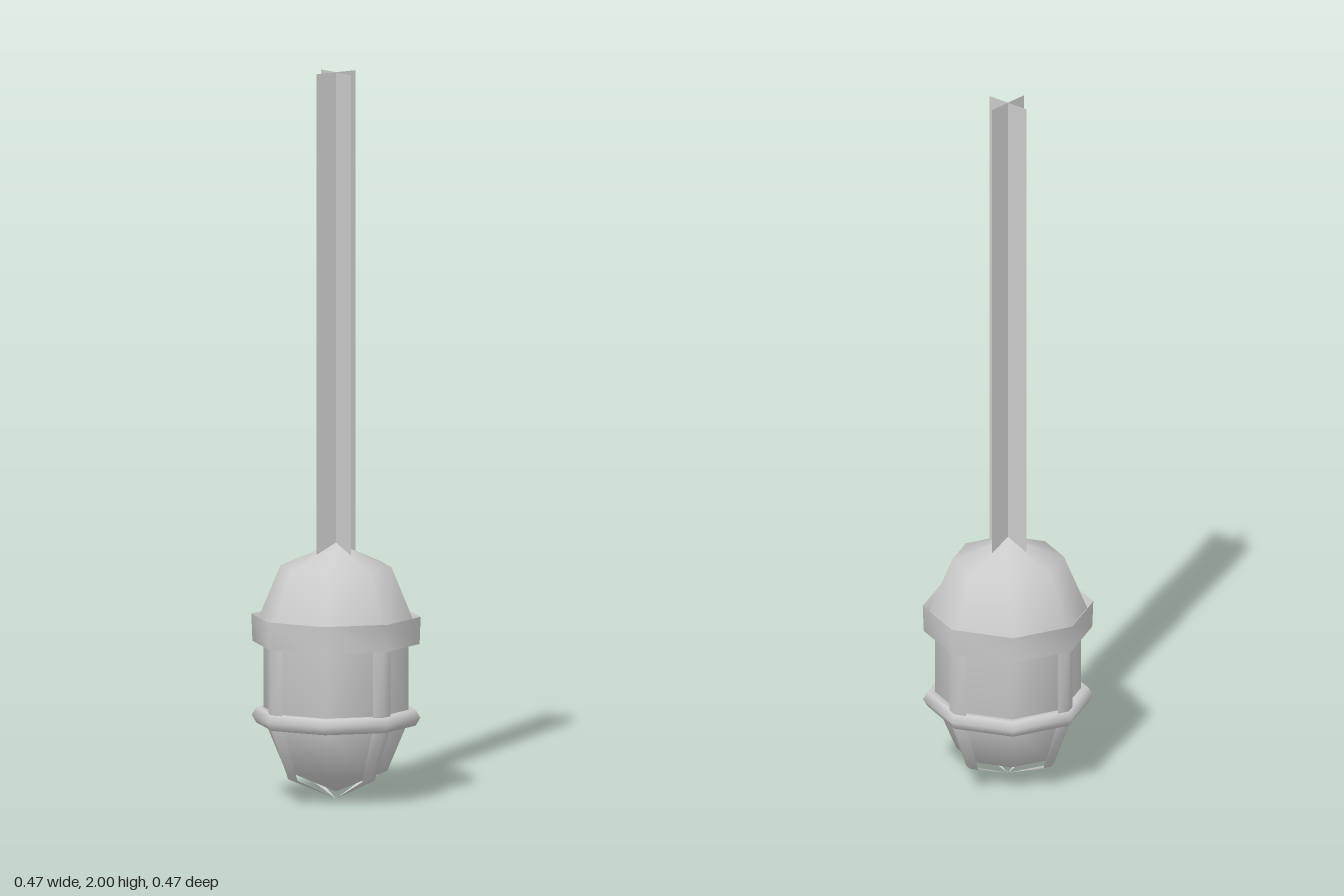
import * as THREE from 'three';
import { toCreasedNormals } from 'three/addons/utils/BufferGeometryUtils.js';

const SIDES = 8;

export function createModel() {
  const model = new THREE.Group();
  const grey = new THREE.MeshStandardMaterial({ color: 0xcccccc });
  const thin = new THREE.MeshStandardMaterial({ color: 0xcccccc, side: THREE.DoubleSide });

  const add = (name, geometry, material = grey) => {
    const mesh = new THREE.Mesh(geometry, material);
    mesh.name = name;
    model.add(mesh);
    return mesh;
  };
  const lathe = (points) =>
    new THREE.LatheGeometry(points.map(([r, y]) => new THREE.Vector2(r, y)), SIDES);

  // Hanging rod: two crossed flat panels
  for (let i = 0; i < 2; i++) {
    const panel = add('rodPanel', new THREE.PlaneGeometry(0.134, 1.34), thin);
    panel.position.y = 1.33;
    panel.rotation.y = i * Math.PI / 2;
  }

  // Domed cap
  add('capDome', lathe([[0.217, 0.485], [0.153, 0.64], [0, 0.705]]));

  // Collar around the cap, its rim sloping in to the dome
  add('collar', toCreasedNormals(
    lathe([[0.19, 0.43], [0.23, 0.43], [0.233, 0.505], [0.213, 0.483]]), Math.PI / 3));

  // Lamp glass with a rounded bottom
  add('lampGlass', lathe([[0, 0.02], [0.141, 0.079], [0.2, 0.22], [0.2, 0.46]]));

  // Ring around the guard
  const ring = new THREE.TorusGeometry(0.207, 0.025, 6, SIDES);
  ring.rotateX(Math.PI / 2);
  add('guardRing', ring);

  // Guard straps: thin strips folded along the middle, tapering to the bottom tip
  model.getObjectByName('guardRing').position.y = 0.227;
  const profile = [[0, 0], [0.156, 0.064], [0.22, 0.22], [0.22, 0.45]];
  const positions = [];
  const index = [];
  profile.forEach(([r, y], row) => {
    for (let col = -1; col <= 1; col++) {
      const w = col * r * 0.136;
      positions.push(w, y, r - Math.abs(w) * Math.tan(Math.PI / 8));
    }
    if (row === 0) return;
    for (let col = 0; col < 2; col++) {
      const a = (row - 1) * 3 + col, b = a + 1, c = a + 3, d = a + 4;
      if (row > 1) index.push(a, b, d);
      index.push(a, d, c);
    }
  });
  const strap = new THREE.BufferGeometry();
  strap.setAttribute('position', new THREE.Float32BufferAttribute(positions, 3));
  strap.setIndex(index);
  strap.computeVertexNormals();
  for (let i = 0; i < 4; i++) {
    add('guardStrap', strap, thin).rotation.y = i * Math.PI / 2;
  }

  return model;
}
